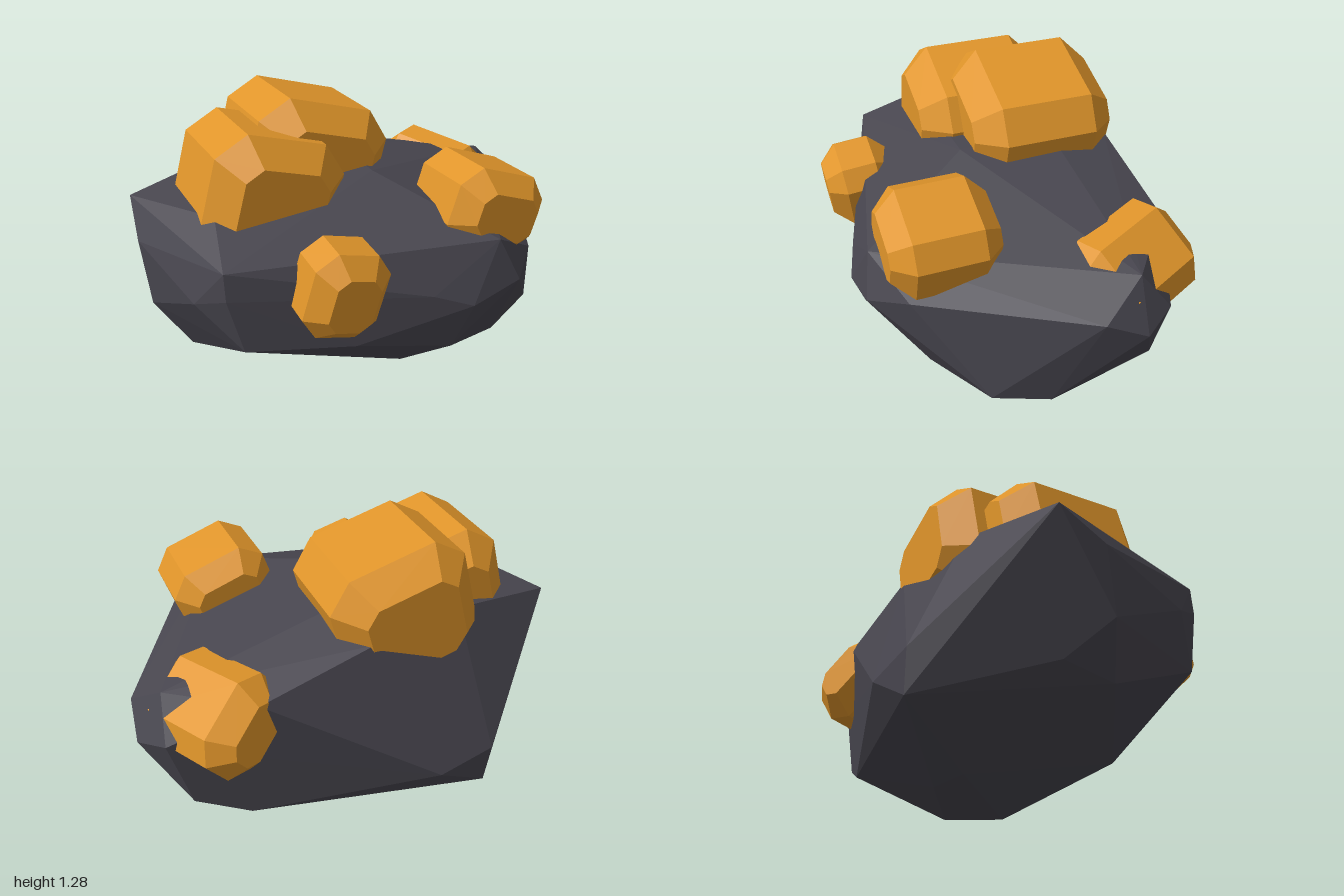
import * as THREE from 'three';
import { ConvexGeometry } from 'three/addons/geometries/ConvexGeometry.js';

const rockMat = new THREE.MeshStandardMaterial({ color: 0x48464f, flatShading: true });
const oreMat = new THREE.MeshStandardMaterial({ color: 0xe0952a, flatShading: true });

// Faceted hull through a handful of corner points
function hull(name, points, material) {
  const mesh = new THREE.Mesh(
    new ConvexGeometry(points.map((p) => new THREE.Vector3(...p))), material);
  mesh.name = name;
  return mesh;
}

// Octagonal prism along z with tapered ends; w, h, l are half sizes
function oreChunk(name, [w, h, l], bevel, position, rotation) {
  const points = [];
  for (const [inset, cut, z] of [[0, bevel, l - bevel], [bevel * 0.9, bevel * 0.55, l]]) {
    const x = w - inset, y = h - inset;
    for (const sx of [-1, 1]) for (const sy of [-1, 1]) for (const sz of [-1, 1]) {
      points.push([sx * x, sy * (y - cut), sz * z], [sx * (x - cut), sy * y, sz * z]);
    }
  }
  const mesh = hull(name, points, oreMat);
  mesh.position.set(...position);
  mesh.rotation.set(...rotation, 'YZX');
  return mesh;
}

export function createModel() {
  const group = new THREE.Group();
  group.name = 'oreRock';

  // Boulder, corner points from the top down
  group.add(hull('boulder', [
    // crown
    [0, 0.98, -0.25], [-0.05, 0.96, 0.17], [-0.4, 0.94, -0.5], [0.05, 0.92, -0.53],
    [-0.78, 0.88, 0.08], [-0.95, 0.84, -0.44], [0.58, 0.79, -0.5], [0.88, 0.78, -0.2],
    [0.22, 0.77, 0.73], [-0.88, 0.76, 0.35],
    // waist
    [-1, 0.7, -0.25], [-0.88, 0.64, 0.36], [0.47, 0.64, 0.65], [0.95, 0.64, 0],
    [1, 0.55, -0.18], [0.93, 0.6, -0.33], [0.3, 0.58, 0.78], [0.06, 0.52, 0.77],
    [-0.95, 0.58, 0.2], [-0.1, 0.58, 0.7],
    // lower flanks
    [-0.98, 0.41, -0.2], [-0.82, 0.4, 0.38], [-0.4, 0.38, 0.57], [0, 0.31, 0.7],
    [-0.44, 0.33, -0.78], [-0.17, 0.28, -0.77], [0.83, 0.25, -0.33], [-0.85, 0.21, -0.1],
    [-0.82, 0.26, -0.33], [-0.15, 0.21, 0.54], [0.38, 0.19, 0.54], [0.72, 0.2, 0.4],
    [0.82, 0.17, 0.16],
    // base
    [-0.42, 0.14, -0.77], [0.6, 0.15, -0.42], [0.65, 0.04, 0.12], [0.5, 0.05, 0.37],
    [-0.13, 0, -0.3], [0.1, 0, -0.3],
  ], rockMat));

  // Ore chunks half sunk into the boulder
  group.add(
    oreChunk('largeOre', [0.32, 0.3, 0.33], 0.12, [-0.19, 0.94, -0.24], [0, -0.14, -0.27]),
    oreChunk('leftOre', [0.3, 0.28, 0.33], 0.12, [-0.48, 0.89, -0.11], [0, -0.14, -0.27]),
    oreChunk('frontOre', [0.23, 0.18, 0.24], 0.09, [0.32, 0.83, 0.455], [0, -0.12, -0.33]),
    oreChunk('sideOre', [0.22, 0.17, 0.27], 0.09, [0.68, 0.65, -0.28], [0.14, 0.38, -0.65]),
    oreChunk('smallOre', [0.17, 0.19, 0.16], 0.08, [-0.46, 0.66, 0.53], [0.1, -0.12, -0.25]),
  );
  return group;
}
